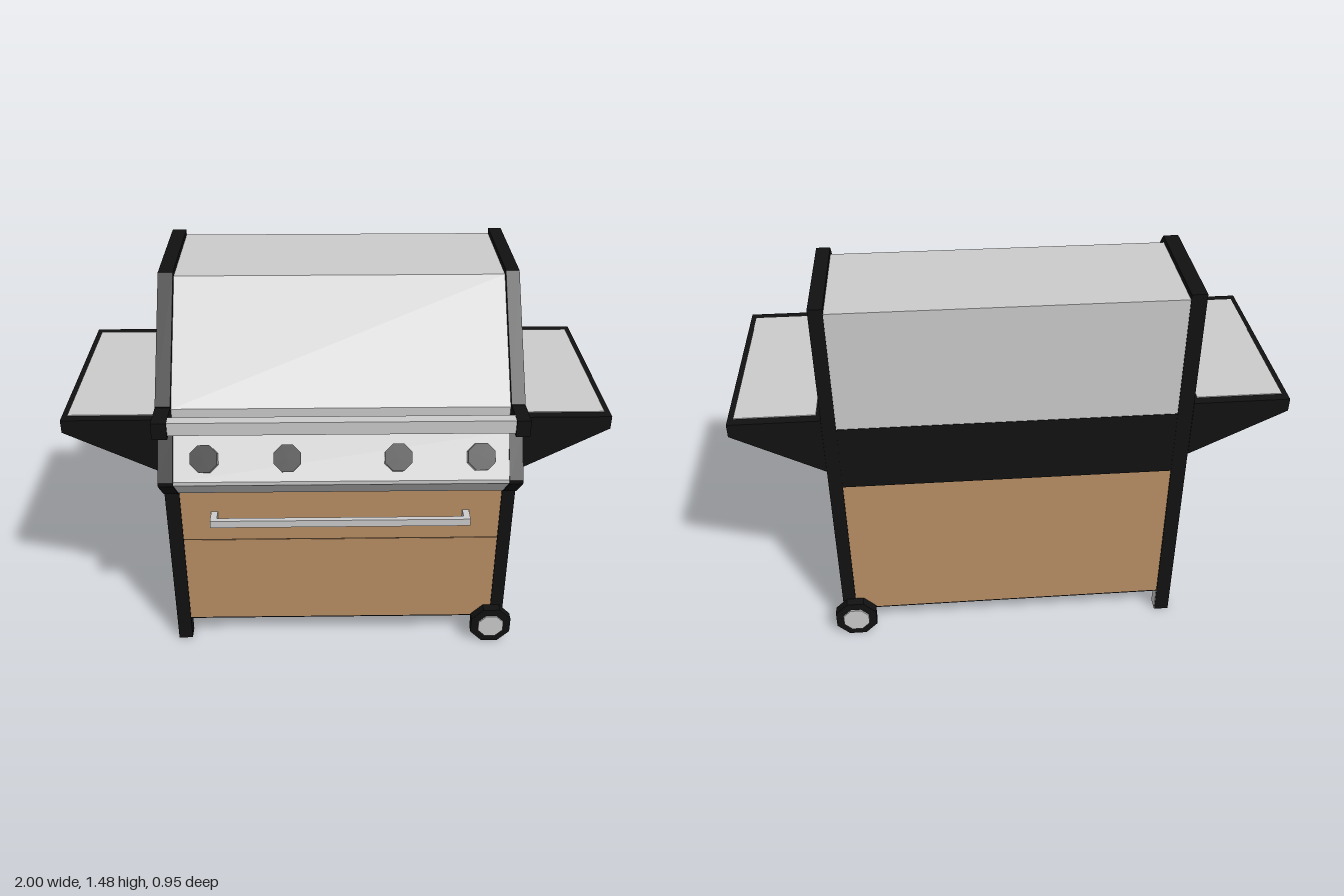
import * as THREE from 'three';

const mat = (color) => new THREE.MeshStandardMaterial({ color, flatShading: true });

export function createModel() {
  const root = new THREE.Group();
  const grey = mat(0xcccccc), black = mat(0x111111), wood = mat(0xb98f65), seam = mat(0x4a3826);

  const add = (name, geo, material, parent = root) => {
    const m = new THREE.Mesh(geo, material);
    m.name = name;
    parent.add(m);
    return m;
  };
  // box given by its minimum and maximum on each axis
  const box = (name, x0, x1, y0, y1, z0, z1, material, parent) => {
    const g = new THREE.BoxGeometry(x1 - x0, y1 - y0, z1 - z0);
    g.translate((x0 + x1) / 2, (y0 + y1) / 2, (z0 + z1) / 2);
    return add(name, g, material, parent);
  };
  const extrude = (pts, depth) => new THREE.ExtrudeGeometry(
    new THREE.Shape(pts.map(([a, b]) => new THREE.Vector2(a, b))), { depth, bevelEnabled: false });
  // (z, y) profile swept along x
  const sweepX = (name, pts, x0, x1, material) =>
    add(name, extrude(pts, x1 - x0).rotateY(-Math.PI / 2).translate(x1, 0, 0), material);

  const IN0 = -0.595, IN1 = 0.625, OUT0 = -0.65, OUT1 = 0.675;

  // End plates, legs and lid handle brackets; the +x legs stop short above the wheels
  const plate = [[-0.437, 0.73], [0.36, 0.73], [0.455, 0.825], [0.455, 0.84], [0.355, 0.985],
    [0.355, 1.1], [0.02, 1.475], [-0.437, 1.475]];
  for (const [side, x0, x1, foot] of [['right', OUT0, IN0, 0], ['left', IN1, OUT1, 0.1]]) {
    sweepX(side + 'EndPlate', plate, x0, x1, black);
    box(side + 'FrontLeg', x0, x1, foot, 0.73, 0.285, 0.34, black);
    box(side + 'BackLeg', x0, x1, foot, 0.73, -0.437, -0.385, black);
    sweepX(side + 'HandleBracket', [[0.3, 1.045], [0.478, 1.038], [0.478, 1.102], [0.3, 1.095]], x0, x1, black);
  }
  box('footInnerFace', IN0, IN0 + 0.002, 0, 0.1, -0.435, -0.385, grey);

  // Hood
  sweepX('lid', [[-0.434, 0.99], [0.345, 0.99], [0.345, 1.085], [0.005, 1.455], [-0.434, 1.455]], IN0, IN1, grey);
  box('lidHandle', IN0, IN1, 1.05, 1.1, 0.43, 0.472, grey);

  // Firebox with the sloped control panel
  sweepX('firebox', [[-0.436, 0.73], [0.34, 0.73], [0.34, 0.985], [-0.436, 0.99]], IN0, IN1, black);
  box('frontRail', IN0, IN1, 0.985, 1.05, 0.3, 0.352, black);
  sweepX('controlPanel', [[0.335, 0.73], [0.355, 0.73], [0.45, 0.825], [0.45, 0.84], [0.35, 0.985], [0.335, 0.985]],
    IN0, IN1, grey);

  // Octagonal knobs standing square to the panel
  const tilt = Math.atan2(0.82, 0.57);
  for (const x of [-0.48, -0.18, 0.22, 0.52]) {
    const knob = new THREE.Group();
    knob.name = 'knob';
    const body = new THREE.CylinderGeometry(0.053, 0.053, 0.06, 8).rotateY(Math.PI / 8);
    add('knobBody', body, [grey, black, grey], knob);
    knob.position.set(x, 0.915, 0.412);
    knob.rotation.x = tilt;
    root.add(knob);
  }

  // Wedge shaped side shelves with inset tops
  for (const [side, s, inner] of [['left', 1, OUT1], ['right', -1, -OUT0]]) {
    let pts = [[inner, 0.81], [1, 0.985], [1, 1.035], [inner, 1.035]].map(([x, y]) => [s * x, y]);
    add(side + 'Shelf', extrude(pts, 0.775).translate(0, 0, -0.44), black);
    const a = s * (inner + 0.018), b = s * 0.98;
    box(side + 'ShelfTop', Math.min(a, b), Math.max(a, b), 1.03, 1.038, -0.405, 0.3, grey);
  }

  // Cabinet panels, open underneath, with dark bottom rails
  box('cabinetFront', IN0, IN1, 0.105, 0.495, 0.3, 0.335, wood);
  box('drawerFront', IN0, IN1, 0.5, 0.73, 0.3, 0.335, wood);
  box('drawerSeam', IN0, IN1, 0.495, 0.5, 0.302, 0.333, seam);
  box('cabinetBack', IN0, IN1, 0.105, 0.73, -0.432, -0.395, wood);
  box('cabinetRightSide', -0.645, -0.61, 0.105, 0.73, -0.385, 0.285, wood);
  box('cabinetLeftSide', 0.635, 0.67, 0.105, 0.73, -0.385, 0.285, wood);
  box('bottomRailFront', IN0, IN1, 0.1, 0.105, 0.295, 0.335, black);
  box('bottomRailBack', IN0, IN1, 0.1, 0.105, -0.432, -0.39, black);
  box('bottomRailRight', -0.645, -0.605, 0.1, 0.105, -0.385, 0.285, black);
  box('bottomRailLeft', 0.63, 0.67, 0.1, 0.105, -0.385, 0.285, black);

  // Drawer handle, its ends passing through the front to an inner strip
  box('drawerHandle', -0.48, 0.505, 0.6, 0.63, 0.38, 0.4, grey);
  box('drawerHandleBacking', -0.48, 0.505, 0.6, 0.63, 0.29, 0.3, grey);
  for (const x of [-0.48, 0.48]) box('drawerHandleEnd', x, x + 0.025, 0.6, 0.63, 0.29, 0.385, grey);

  // Octagonal wheels with raised hubs
  const disc = (r, d) => new THREE.CylinderGeometry(r, r, d, 8).rotateY(Math.PI / 8).rotateX(Math.PI / 2);
  for (const [end, z, s] of [['front', 0.3575, 1], ['back', -0.4525, -1]]) {
    const wheel = new THREE.Group();
    wheel.name = end + 'Wheel';
    add('tyre', disc(0.086, 0.035), black, wheel);
    add('hub', disc(0.054, 0.02), grey, wheel).position.z = s * 0.014;
    wheel.position.set(0.626, 0.0795, z);
    root.add(wheel);
  }
  return root;
}
